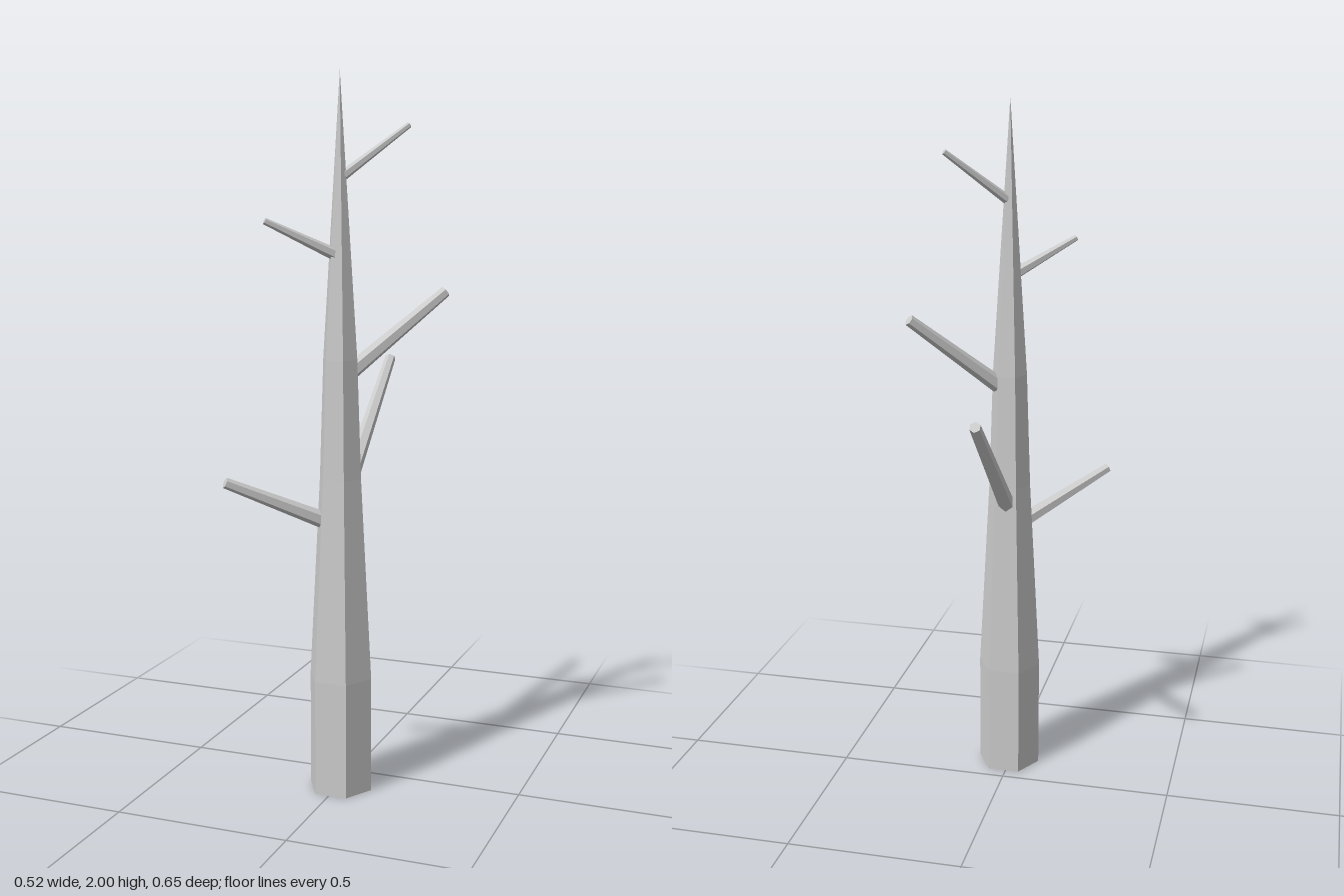
import * as THREE from 'three';

const bark = new THREE.MeshStandardMaterial({ color: 0xcccccc, flatShading: true, side: THREE.DoubleSide });

// Six-sided tapering branch from a base point to a tip, with one ridge facing up
function branch(name, base, tip, rBase, rTip) {
  const from = new THREE.Vector3(...base);
  const to = new THREE.Vector3(...tip);
  const length = from.distanceTo(to);
  const geometry = new THREE.CylinderGeometry(rTip, rBase, length, 6);
  geometry.translate(0, length / 2, 0);
  geometry.rotateX(Math.PI / 2);
  const mesh = new THREE.Mesh(geometry, bark);
  mesh.name = name;
  mesh.position.copy(from);
  mesh.lookAt(to);
  return mesh;
}

export function createModel() {
  const tree = new THREE.Group();
  tree.name = 'bareTree';

  // Trunk: straight foot, slow taper, then a sharp point; open underneath
  const profile = [[0.092, 0], [0.092, 0.33], [0.061, 0.9], [0.05, 1.23], [0, 2]]
    .map(([r, y]) => new THREE.Vector2(r, y));
  const trunk = new THREE.Mesh(new THREE.LatheGeometry(profile, 6, Math.PI / 2), bark);
  trunk.name = 'trunk';
  trunk.position.set(0.006, 0, 0.117);
  tree.add(trunk);

  // Branches, lowest to highest
  tree.add(
    branch('lowFrontBranch', [-0.03, 0.78, 0.137], [-0.252, 0.905, 0.315], 0.024, 0.015),
    branch('backBranch', [0.006, 0.845, 0.08], [0, 1.19, -0.317], 0.024, 0.016),
    branch('middleSideBranch', [0.035, 1.2, 0.098], [0.25, 1.41, -0.063], 0.024, 0.016),
    branch('upperFrontBranch', [-0.003, 1.515, 0.13], [-0.157, 1.605, 0.25], 0.017, 0.009),
    branch('topSideBranch', [0.014, 1.725, 0.112], [0.163, 1.86, 0.002], 0.014, 0.008),
  );
  return tree;
}
